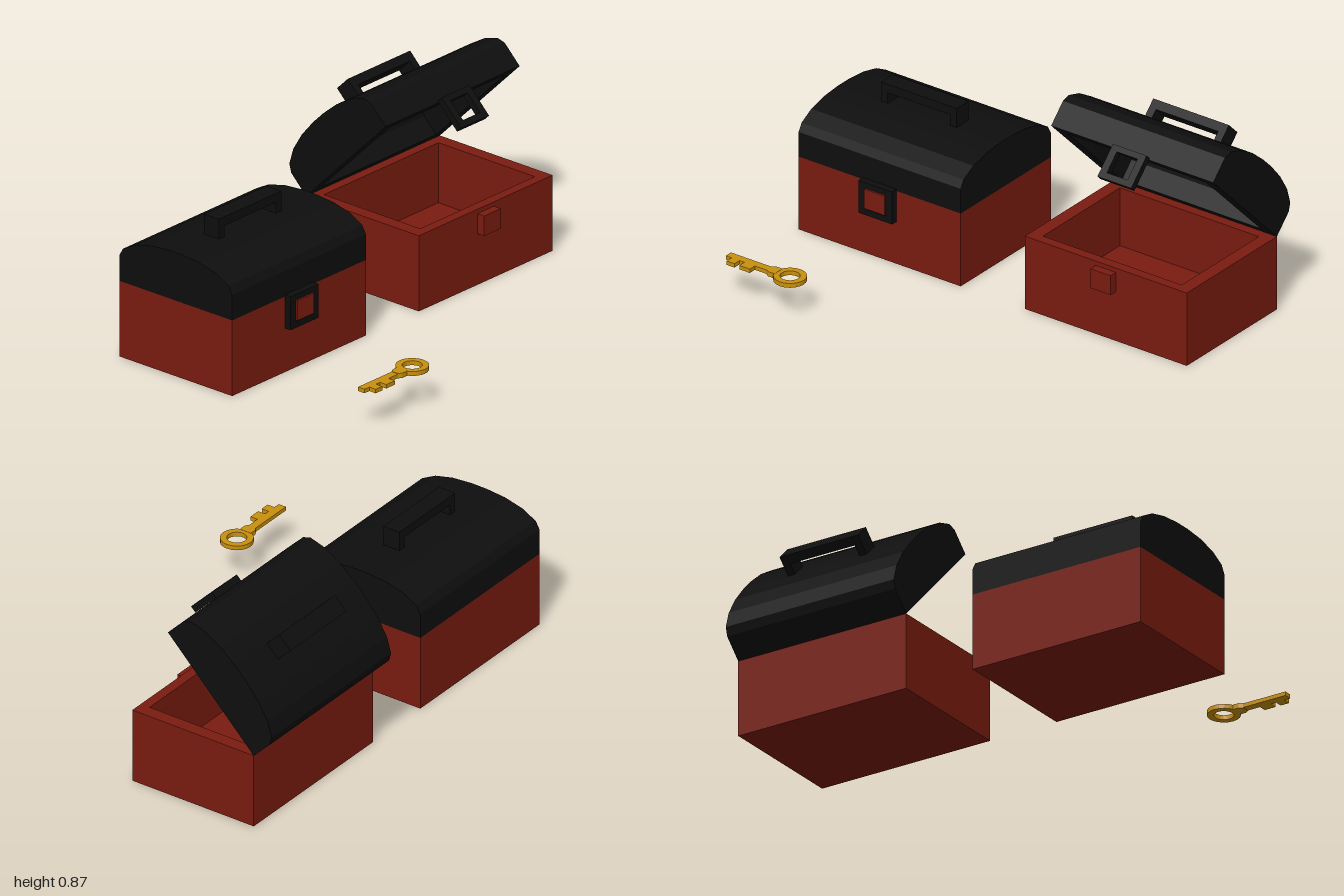
import * as THREE from 'three';

const red = new THREE.MeshStandardMaterial({ color: 0x7a1c10 });
const black = new THREE.MeshStandardMaterial({ color: 0x0e0e0e });
const gold = new THREE.MeshStandardMaterial({ color: 0xc8900f });

// chest dimensions
const W = 0.62, H = 0.34, L = 0.835, WALL_X = 0.045, WALL_Z = 0.06, FLOOR = 0.07;

const points = (list) => list.map(([x, y]) => new THREE.Vector2(x, y));
const polygon = (list) => new THREE.Shape(points(list));
const rect = (x0, y0, x1, y1) => [[x0, y0], [x1, y0], [x1, y1], [x0, y1]];

function extrude(shape, depth, curveSegments = 24) {
  return new THREE.ExtrudeGeometry(shape, { depth, bevelEnabled: false, curveSegments });
}

function add(parent, name, geometry, material, x = 0, y = 0, z = 0) {
  const mesh = new THREE.Mesh(geometry, material);
  mesh.name = name;
  mesh.position.set(x, y, z);
  parent.add(mesh);
  return mesh;
}

function box(parent, name, material, x0, x1, y0, y1, z0, z1) {
  return add(parent, name, new THREE.BoxGeometry(x1 - x0, y1 - y0, z1 - z0), material,
    (x0 + x1) / 2, (y0 + y1) / 2, (z0 + z1) / 2);
}

// half of the lid arch, mirrored to give the full section from back to front
function archProfile() {
  const half = [[0, 0], [0, 0.115], [0.02, 0.15], [0.087, 0.186], [0.177, 0.208], [0.27, 0.216]];
  return [...half, ...half.map(([x, y]) => [W - x, y]).reverse()];
}

// lid built around its hinge line at the origin
function createLid() {
  const lid = new THREE.Group();
  lid.name = 'lid';
  const outer = archProfile();
  const sx = (W - 2 * WALL_X) / W, sy = 0.8;
  const inner = outer.map(([x, y]) => [WALL_X + x * sx, y * sy]).reverse();
  add(lid, 'lidArch', extrude(polygon([...outer, ...inner]), L - 2 * WALL_Z), black, 0, 0, -L / 2 + WALL_Z);
  for (const z of [-L / 2, L / 2 - WALL_Z]) {
    add(lid, 'lidEnd', extrude(polygon(outer), WALL_Z), black, 0, 0, z);
  }

  // carrying handle on top
  const handle = polygon([[-0.195, 0.2], [-0.16, 0.2], [-0.16, 0.265], [0.16, 0.265],
    [0.16, 0.2], [0.195, 0.2], [0.195, 0.305], [-0.195, 0.305]]);
  add(lid, 'handle', extrude(handle, 0.082), black, W / 2 - 0.041).rotation.y = Math.PI / 2;

  // hanging clasp loop
  const clasp = polygon(rect(-0.087, -0.143, 0.087, 0.008));
  clasp.holes.push(new THREE.Path(points(rect(-0.053, -0.115, 0.053, -0.018))));
  add(lid, 'clasp', extrude(clasp, 0.031), black, W).rotation.y = Math.PI / 2;
  return lid;
}

function createChest(name, z, openAngle) {
  const chest = new THREE.Group();
  chest.name = name;
  chest.position.set(-0.61, 0, z);

  // walls, floor and latch peg
  const walls = polygon(rect(0, -L / 2, W, L / 2));
  walls.holes.push(new THREE.Path(points(
    rect(WALL_X, -L / 2 + WALL_Z, W - WALL_X, L / 2 - WALL_Z))));
  add(chest, 'walls', extrude(walls, H), red).rotation.x = -Math.PI / 2;
  box(chest, 'floor', red, WALL_X, W - WALL_X, 0, FLOOR, -L / 2 + WALL_Z, L / 2 - WALL_Z);
  box(chest, 'latchPeg', red, W, W + 0.037, 0.23, 0.32, -0.052, 0.052);

  const lid = createLid();
  lid.position.y = H;
  lid.rotation.z = openAngle;
  chest.add(lid);
  return chest;
}

// key lying flat, ring towards the back
function createKey() {
  const key = new THREE.Group();
  key.name = 'key';
  key.position.set(0.63, 0.172, 0.58);

  const ring = new THREE.Shape().absarc(0, 0, 0.07, 0, Math.PI * 2);
  ring.holes.push(new THREE.Path().absarc(0, 0, 0.042, 0, Math.PI * 2));
  add(key, 'keyRing', extrude(ring, 0.02, 10), gold, 0, -0.01).rotation.x = -Math.PI / 2;

  const collar = polygon([[-0.028, -0.06], [-0.028, -0.092], [-0.018, -0.108],
    [0.018, -0.108], [0.028, -0.092], [0.028, -0.06]]);
  add(key, 'keyCollar', extrude(collar, 0.022), gold, 0, -0.011).rotation.x = -Math.PI / 2;

  box(key, 'keyShaft', gold, -0.018, 0.018, -0.009, 0.009, 0.1, 0.318);
  box(key, 'keyTooth', gold, 0.018, 0.053, -0.009, 0.009, 0.168, 0.222);
  box(key, 'keyTooth', gold, 0.018, 0.053, -0.009, 0.009, 0.247, 0.288);
  return key;
}

export function createModel() {
  const model = new THREE.Group();
  model.name = 'chestsAndKey';
  model.add(createChest('closedChest', 1 - L / 2, 0));
  model.add(createChest('openChest', -1 + L / 2, Math.PI / 4));
  model.add(createKey());
  return model;
}
